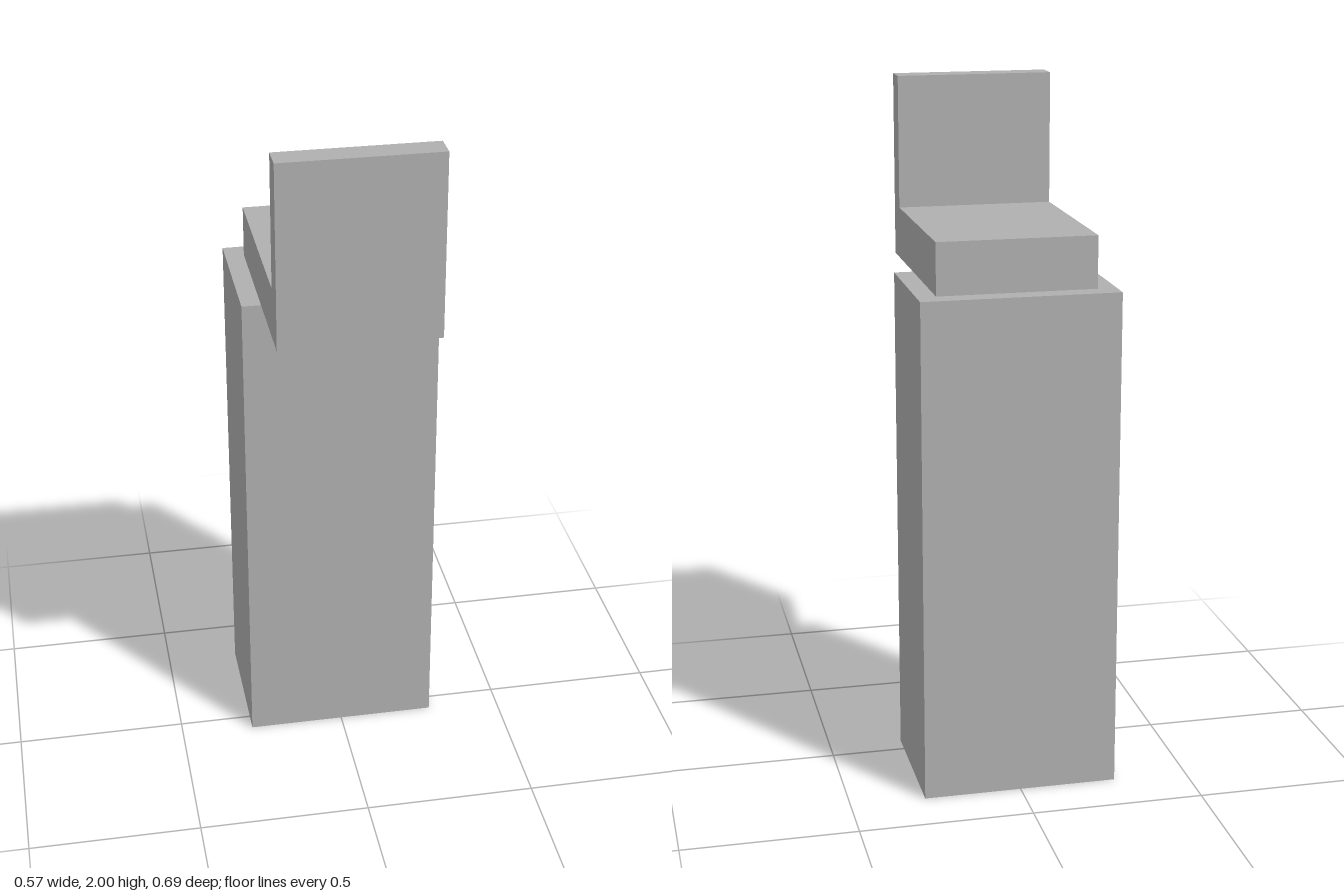
import * as THREE from 'three';

export function createModel() {
  const grey = new THREE.MeshStandardMaterial({ color: 0xb0b0b0 });
  grey.name = 'grey';
  const group = new THREE.Group();

  // Tall rectangular column, set towards the back
  const column = new THREE.Mesh(new THREE.BoxGeometry(0.566, 1.465, 0.4), grey);
  column.name = 'column';
  column.position.set(0, 1.465 / 2, -0.143);
  group.add(column);

  // L-shaped bracket: side profile in (z, y), extruded across the width
  const width = 0.456;
  const profile = new THREE.Shape([
    [-0.284, 1.465], [0.343, 1.465], [0.343, 2], [0.267, 2], [0.267, 1.615], [-0.284, 1.615],
  ].map(([z, y]) => new THREE.Vector2(z, y)));
  const geometry = new THREE.ExtrudeGeometry(profile, { depth: width, bevelEnabled: false });
  geometry.translate(0, 0, -width / 2).rotateY(-Math.PI / 2);
  const bracket = new THREE.Mesh(geometry, grey);
  bracket.name = 'bracket';
  group.add(bracket);

  return group;
}
